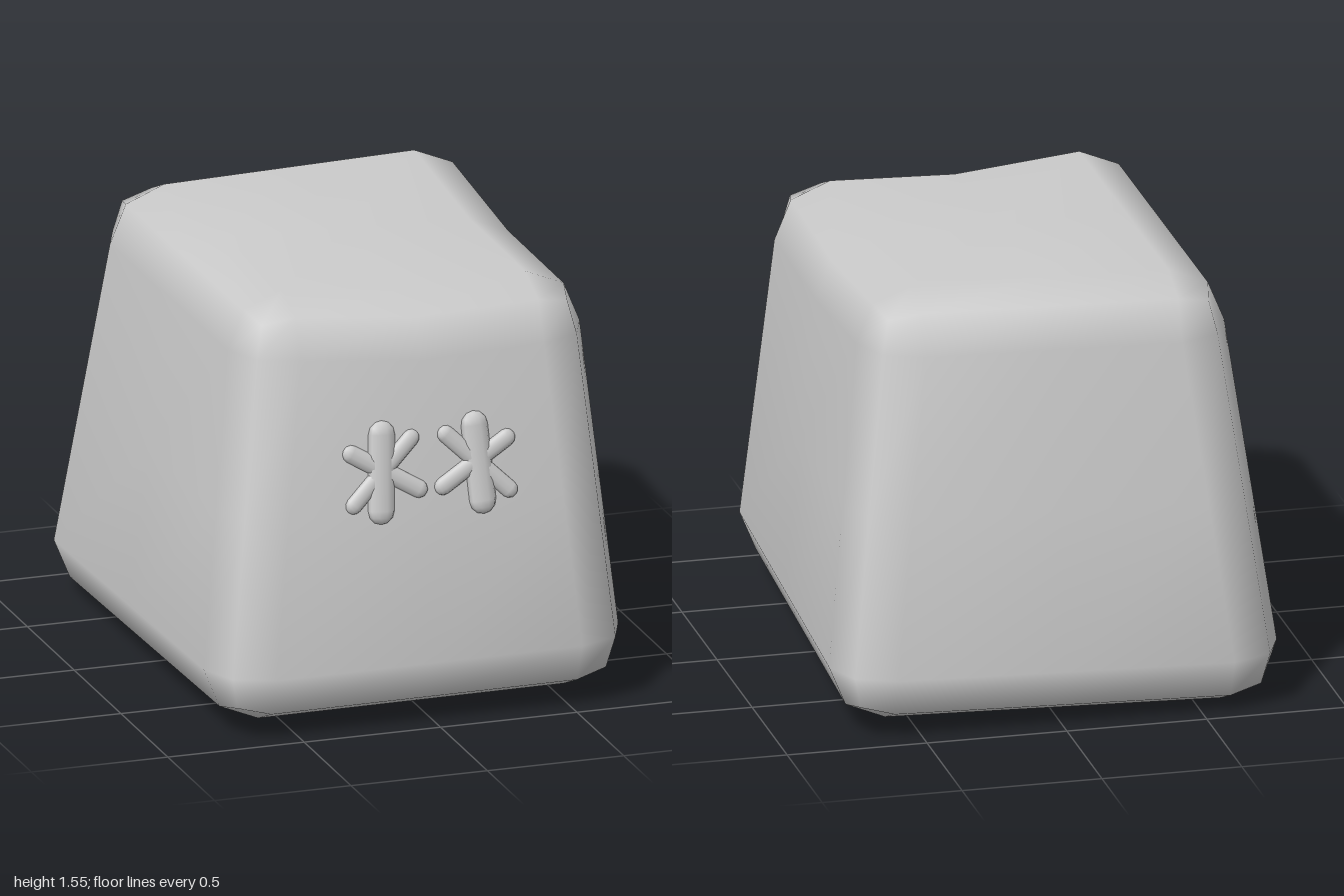
import * as THREE from 'three';
import { mergeVertices } from 'three/addons/utils/BufferGeometryUtils.js';

const material = new THREE.MeshStandardMaterial({ color: 0xcccccc });
const RADIUS = 0.2;

// Bevel centres of the eight slightly uneven corners: [x, y, z], keyed by side signs "x,y,z"
const CORNERS = {
  '-1,1,1': [-0.45, 1.33, 0.62], '1,1,1': [0.44, 1.3, 0.62],
  '-1,1,-1': [-0.46, 1.325, -0.61], '1,1,-1': [0.455, 1.35, -0.61],
  '-1,-1,1': [-0.6, 0.235, 0.8], '1,-1,1': [0.52, 0.24, 0.8],
  '-1,-1,-1': [-0.6, 0.2, -0.8], '1,-1,-1': [0.6, 0.235, -0.8],
};

// Trilinear blend of the corner centres, s components in -1..1
function corePoint(s) {
  const p = new THREE.Vector3();
  for (const [key, c] of Object.entries(CORNERS)) {
    const [a, b, d] = key.split(',').map(Number);
    const w = (1 + a * s.x) * (1 + b * s.y) * (1 + d * s.z) / 8;
    p.addScaledVector(new THREE.Vector3(...c), w);
  }
  return p;
}

// Tapered block with a two-step rounded bevel and a softly sagging top
function makeBody() {
  const geo = new THREE.BoxGeometry(2, 2, 2, 4, 4, 4);
  const pos = geo.attributes.position;
  const v = new THREE.Vector3();
  const bevel = (c) => (Math.abs(c) > 0.75 ? Math.sign(c) : 0);
  const side = (c) => (Math.abs(c) > 0.25 ? Math.sign(c) : 0);
  for (let i = 0; i < pos.count; i++) {
    v.fromBufferAttribute(pos, i);
    const out = new THREE.Vector3(bevel(v.x), bevel(v.y), bevel(v.z)).normalize();
    const s = new THREE.Vector3(side(v.x), side(v.y), side(v.z));
    const p = corePoint(s).addScaledVector(out, RADIUS);
    if (s.y > 0 && (s.x === 0 || s.z === 0)) p.y -= 0.015 + 0.015 * (s.x + s.z);
    pos.setXYZ(i, p.x, p.y, p.z);
  }
  geo.deleteAttribute('uv');
  geo.deleteAttribute('normal');
  const smooth = mergeVertices(geo, 1e-4);
  smooth.computeVertexNormals();
  const mesh = new THREE.Mesh(smooth, material);
  mesh.name = 'body';
  return mesh;
}

// Flattened capsule between two points on the eye plane
function makeBar(name, [x1, y1], [x2, y2], radius, depth) {
  const dx = x2 - x1, dy = y2 - y1;
  const geo = new THREE.CapsuleGeometry(radius, Math.hypot(dx, dy) - 2 * radius, 3, 10);
  const mesh = new THREE.Mesh(geo, material);
  mesh.name = name;
  mesh.scale.z = depth / radius;
  mesh.rotation.z = Math.atan2(dy, dx) - Math.PI / 2;
  mesh.position.set((x1 + x2) / 2, (y1 + y2) / 2, 0);
  return mesh;
}

// Star-shaped eye of three crossed bars lying on the sloped front
function makeEye(name, m) {
  const eye = new THREE.Group();
  eye.name = name;
  eye.add(
    makeBar('eyeUpright', [m * -0.015, 0.18], [m * 0.007, -0.185], 0.049, 0.026),
    makeBar('eyeLongArm', [m * 0.13, 0.09], [m * -0.165, -0.09], 0.032, 0.02),
    makeBar('eyeShortArm', [m * -0.14, 0.13], [m * 0.125, -0.13], 0.031, 0.02),
  );
  eye.position.set(m * 0.182, 0.917, 0.886);
  eye.rotation.x = -Math.atan(0.167);
  return eye;
}

export function createModel() {
  const model = new THREE.Group();
  model.name = 'roundedBlockHead';
  model.add(makeBody(), makeEye('leftEye', 1), makeEye('rightEye', -1));
  return model;
}
